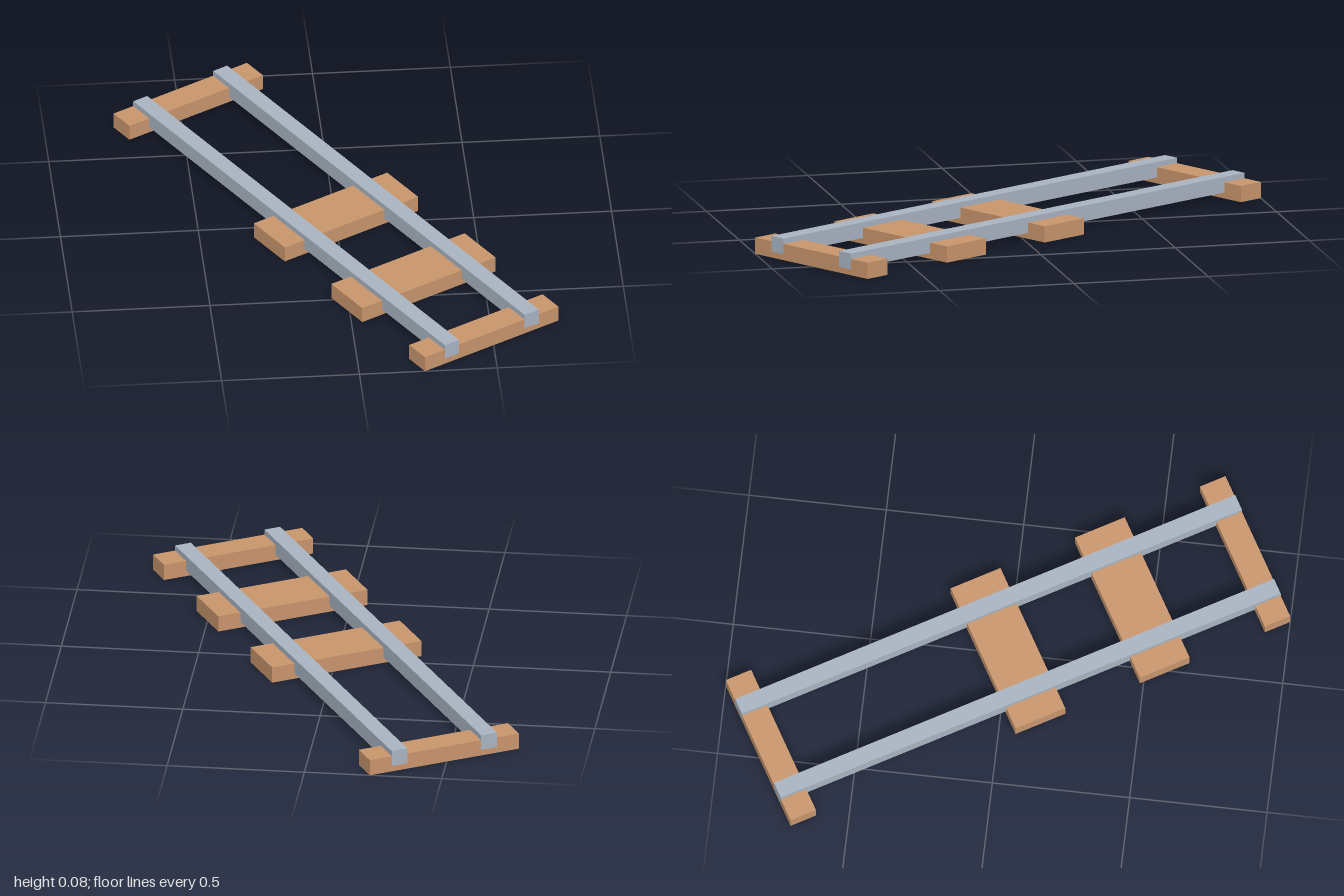
import * as THREE from 'three';

export function createModel() {
  const model = new THREE.Group();
  model.name = 'railTrack';

  const wood = new THREE.MeshStandardMaterial({ color: 0xc8956c, flatShading: true });
  const steel = new THREE.MeshStandardMaterial({ color: 0xa9b4c2, flatShading: true });

  // The straight track is built along z, then turned diagonally
  const track = new THREE.Group();
  track.name = 'track';
  track.rotation.y = Math.PI / 6;
  model.add(track);

  // Box spanning heights y0 to y1
  const addBox = (name, material, width, depth, y0, y1, x, z) => {
    const mesh = new THREE.Mesh(new THREE.BoxGeometry(width, y1 - y0, depth), material);
    mesh.name = name;
    mesh.position.set(x, (y0 + y1) / 2, z);
    track.add(mesh);
  };

  // Sleepers: narrow at both ends, wide in between, with one missing
  const sleepers = [
    ['backSleeper', -0.935, 0.1],
    ['middleSleeper', 0, 0.196],
    ['frontMiddleSleeper', 0.49, 0.196],
    ['frontSleeper', 0.935, 0.1],
  ];
  for (const [name, z, depth] of sleepers) addBox(name, wood, 0.588, depth, 0, 0.06, 0, z);

  // Rails sunk into the sleepers, ends flush with the end sleepers
  for (const side of [-1, 1]) {
    addBox(side > 0 ? 'leftRail' : 'rightRail', steel, 0.062, 1.971, 0.022, 0.08, side * 0.176, 0);
  }

  return model;
}
